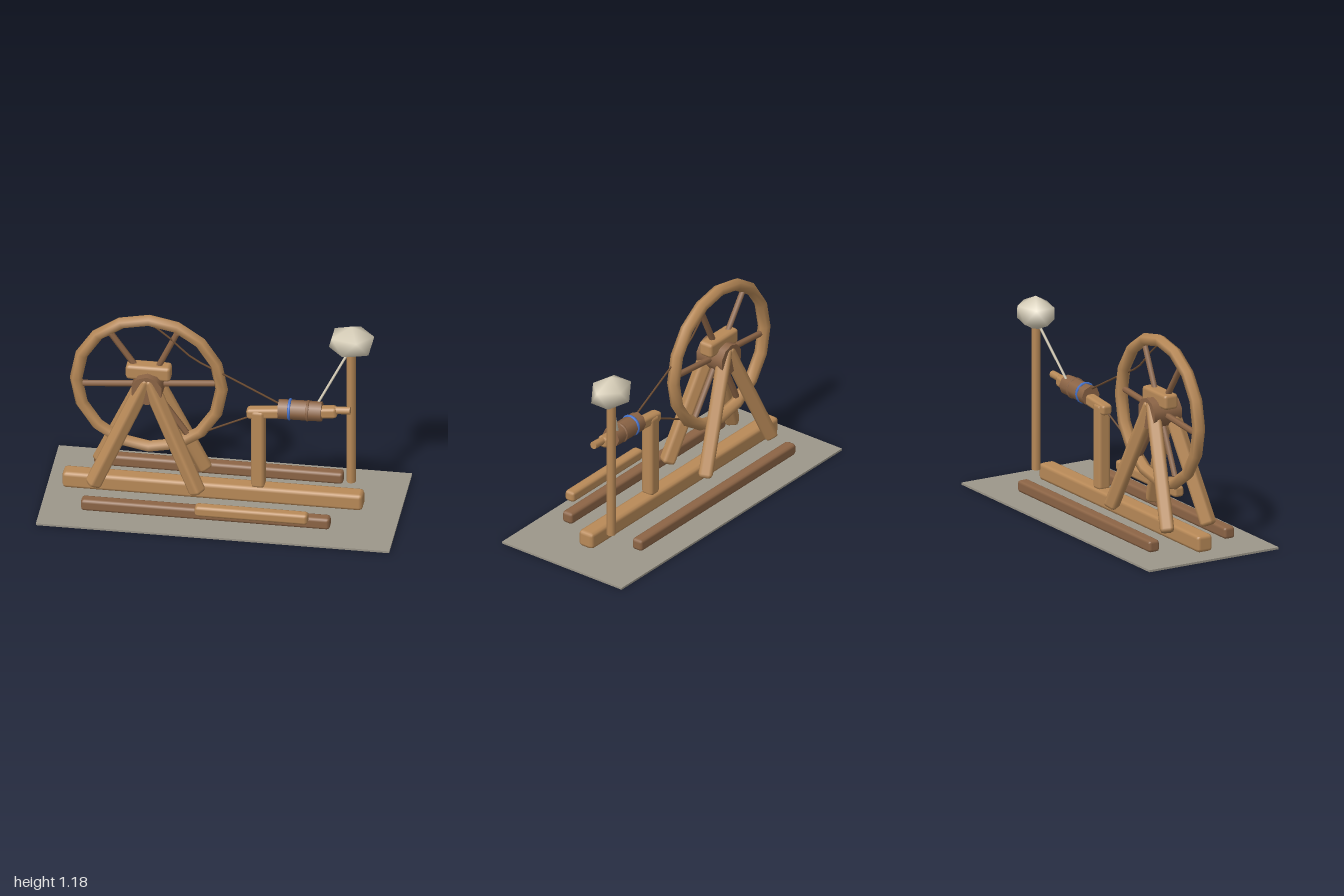
import * as THREE from 'three';
import { mergeVertices } from 'three/addons/utils/BufferGeometryUtils.js';
import { RoundedBoxGeometry } from 'three/addons/geometries/RoundedBoxGeometry.js';

const material = (name, color) => {
  const m = new THREE.MeshStandardMaterial({ color });
  m.name = name;
  return m;
};
const V = (x, y, z) => new THREE.Vector3(x, y, z);

export function createModel() {
  const model = new THREE.Group();
  model.name = 'spinningWheel';
  const lightWood = material('lightWood', 0xb98a58);
  const darkWood = material('darkWood', 0x8d6546);
  const groundGrey = material('groundGrey', 0x9d978a);
  const wool = material('wool', 0xd9d0ba);
  const blue = material('blueBand', 0x4472cc);
  const cord = material('cord', 0x6f4e33);

  const add = (name, geo, mat, x = 0, y = 0, z = 0) => {
    const mesh = new THREE.Mesh(geo, mat);
    mesh.name = name;
    mesh.position.set(x, y, z);
    model.add(mesh);
    return mesh;
  };
  // Bevelled timber
  const timber = (name, mat, w, h, d, x, y, z, bevel = 0.018) =>
    add(name, new RoundedBoxGeometry(w, h, d, 1, bevel), mat, x, y, z);
  // Turns a y-aligned part so that it runs from a to b
  const span = (mesh, a, b) => {
    mesh.position.copy(a).add(b).multiplyScalar(0.5);
    mesh.quaternion.setFromUnitVectors(V(0, 1, 0), b.clone().sub(a).normalize());
    return mesh;
  };
  const rod = (name, mat, a, b, r, sides = 8) =>
    span(add(name, new THREE.CylinderGeometry(r, r, a.distanceTo(b), sides), mat), a, b);

  // Base
  add('groundPlate', new THREE.BoxGeometry(2, 0.012, 0.85), groundGrey, 0, 0.006, 0);
  timber('mainBeam', lightWood, 1.7, 0.1, 0.1, -0.06, 0.075, 0, 0.022);
  for (const s of [-1, 1]) timber('sideRail', darkWood, 1.41, 0.07, 0.07, -0.065, 0.063, s * 0.248);
  timber('treadle', lightWood, 0.64, 0.064, 0.064, 0.205, 0.123, 0.322);

  // Wheel
  const cx = -0.425, cy = 0.727;
  add('wheelRim', new THREE.TorusGeometry(0.412, 0.036, 6, 16), lightWood, cx, cy, 0);
  for (let i = 0; i < 3; i++) {
    const a = THREE.MathUtils.degToRad(5 + i * 60);
    const dx = Math.cos(a) * 0.375, dy = Math.sin(a) * 0.375;
    rod('spoke', darkWood, V(cx - dx, cy - dy, 0), V(cx + dx, cy + dy, 0), 0.018, 6);
  }
  rod('hub', darkWood, V(cx, cy, -0.09), V(cx, cy, 0.09), 0.09, 10);
  timber('hubBlock', lightWood, 0.255, 0.09, 0.09, cx, 0.81, 0, 0.02);

  // Splayed legs
  for (const sx of [-1, 1]) for (const sz of [-1, 1]) {
    const top = V(cx, 0.79, sz * 0.05), foot = V(cx + sx * 0.3, 0.115, sz * 0.137);
    span(timber('leg', lightWood, 0.08, top.distanceTo(foot), 0.08, 0, 0, 0, 0.022), top, foot);
  }

  // Spindle on its post
  timber('spindlePost', lightWood, 0.078, 0.5, 0.078, 0.195, 0.365, 0, 0.02);
  const arm = timber('spindleArm', lightWood, 0.515, 0.064, 0.064, 0.385, 0.613, 0);
  arm.rotation.z = 0.1;
  rod('spindleTip', lightWood, V(0.6, 0.645, 0), V(0.715, 0.652, 0), 0.022);
  rod('bobbin', darkWood, V(0.31, 0.627, 0), V(0.555, 0.632, 0), 0.058);
  const ring = (name, mat, x, r, tube) => {
    add(name, new THREE.TorusGeometry(r, tube, 6, 16), mat, x, 0.63, 0).rotation.y = Math.PI / 2;
  };
  ring('blueBand', blue, 0.373, 0.055, 0.009);
  ring('bobbinBand', darkWood, 0.476, 0.053, 0.009);

  // Distaff with its bundle of wool
  rod('distaff', lightWood, V(0.702, 0.118, -0.118), V(0.702, 0.97, -0.118), 0.026);
  let fleece = new THREE.IcosahedronGeometry(1, 0);
  fleece.deleteAttribute('normal');
  fleece.deleteAttribute('uv');
  fleece = mergeVertices(fleece);
  fleece.rotateZ(Math.atan(2 / (1 + Math.sqrt(5)))); // one corner points up
  fleece.rotateY(Math.PI);
  fleece.scale(0.144, 0.1, 0.114);
  fleece.computeVertexNormals();
  add('fleece', fleece, wool, 0.704, 1.031, -0.118);
  rod('yarn', wool, V(0.525, 0.665, -0.024), V(0.695, 0.98, -0.113), 0.008, 6);

  // Drive cord, slack on both runs
  const runs = [
    [V(-0.42, 1.13, 0.012), V(-0.31, 1.045, 0.012), V(-0.18, 0.925, 0.012), V(0.04, 0.81, 0.01), V(0.33, 0.66, 0.01)],
    [V(-0.41, 0.31, 0.012), V(-0.26, 0.365, 0.012), V(-0.09, 0.455, 0.012), V(0.18, 0.585, 0.01)],
  ];
  for (const points of runs)
    add('driveCord', new THREE.TubeGeometry(new THREE.CatmullRomCurve3(points), 12, 0.006, 5), cord);

  return model;
}
